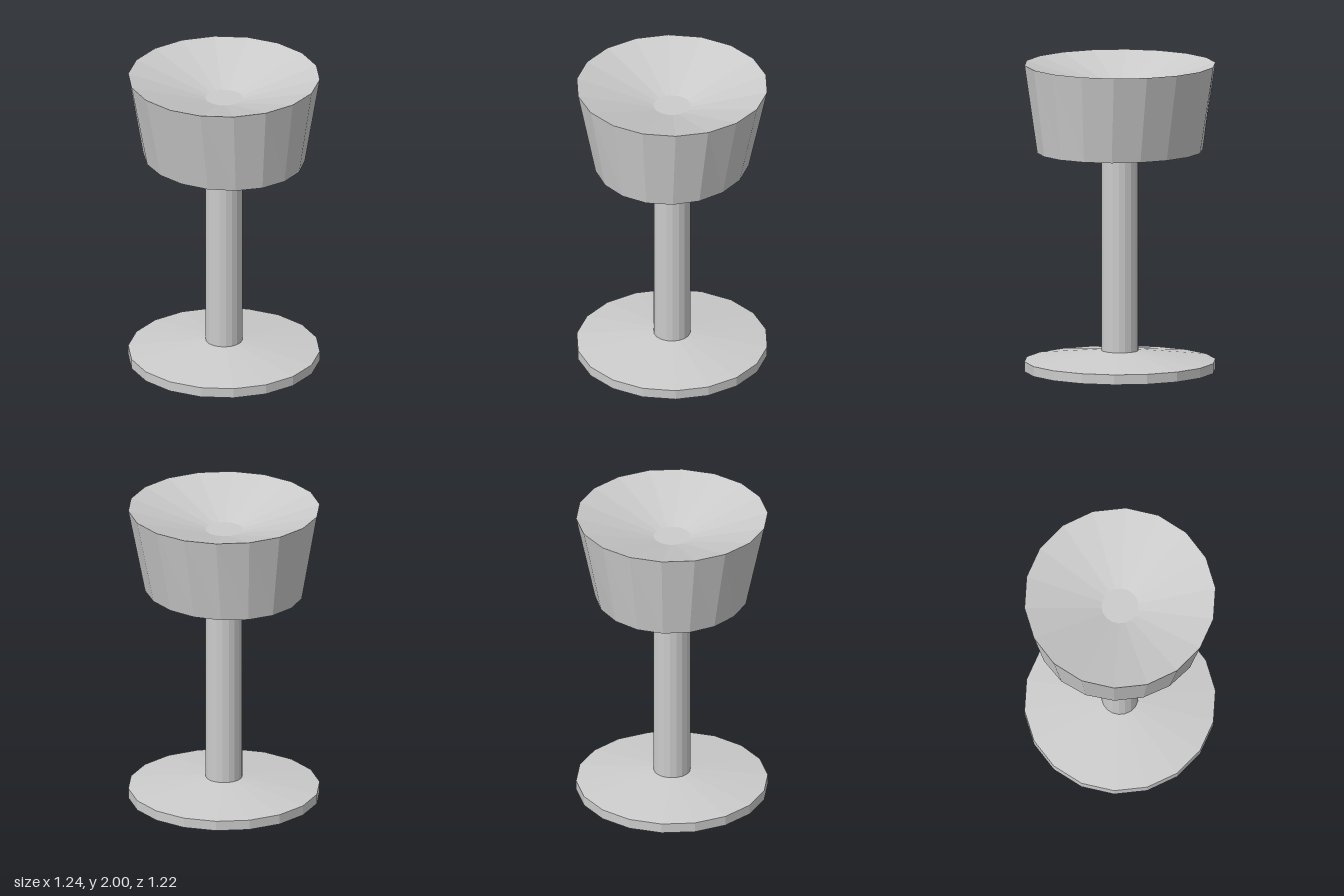
import * as THREE from 'three';

const SIDES = 18;
const material = new THREE.MeshStandardMaterial({ color: 0xcccccc, flatShading: true });

// Faceted turned part from [radius, height] points, with corners on the x axis
function turned(name, profile) {
  const points = profile.map(([r, y]) => new THREE.Vector2(r, y));
  const mesh = new THREE.Mesh(new THREE.LatheGeometry(points, SIDES, Math.PI / 2), material);
  mesh.name = name;
  return mesh;
}

export function createModel() {
  const model = new THREE.Group();
  model.name = 'goblet';

  // Disc foot with a shallow conical top
  const foot = turned('foot', [[0, 0], [0.62, 0], [0.62, 0.065], [0.119, 0.13], [0, 0.13]]);

  // Straight stem, narrowing just under the bowl
  const stem = turned('stem', [[0.119, 0.13], [0.119, 1.38], [0.106, 1.435]]);

  // Bowl with a shallow funnel inside and a small flat floor
  const bowl = turned('bowl', [[0, 1.43], [0.545, 1.43], [0.62, 2], [0.12, 1.85], [0, 1.85]]);

  // The bowl's underside is slightly oval, narrower from front to back
  const pos = bowl.geometry.attributes.position;
  for (let i = 0; i < pos.count; i++) {
    if (pos.getY(i) < 1.5) pos.setZ(i, pos.getZ(i) * 0.913);
  }
  bowl.geometry.computeVertexNormals();

  model.add(foot, stem, bowl);
  return model;
}
